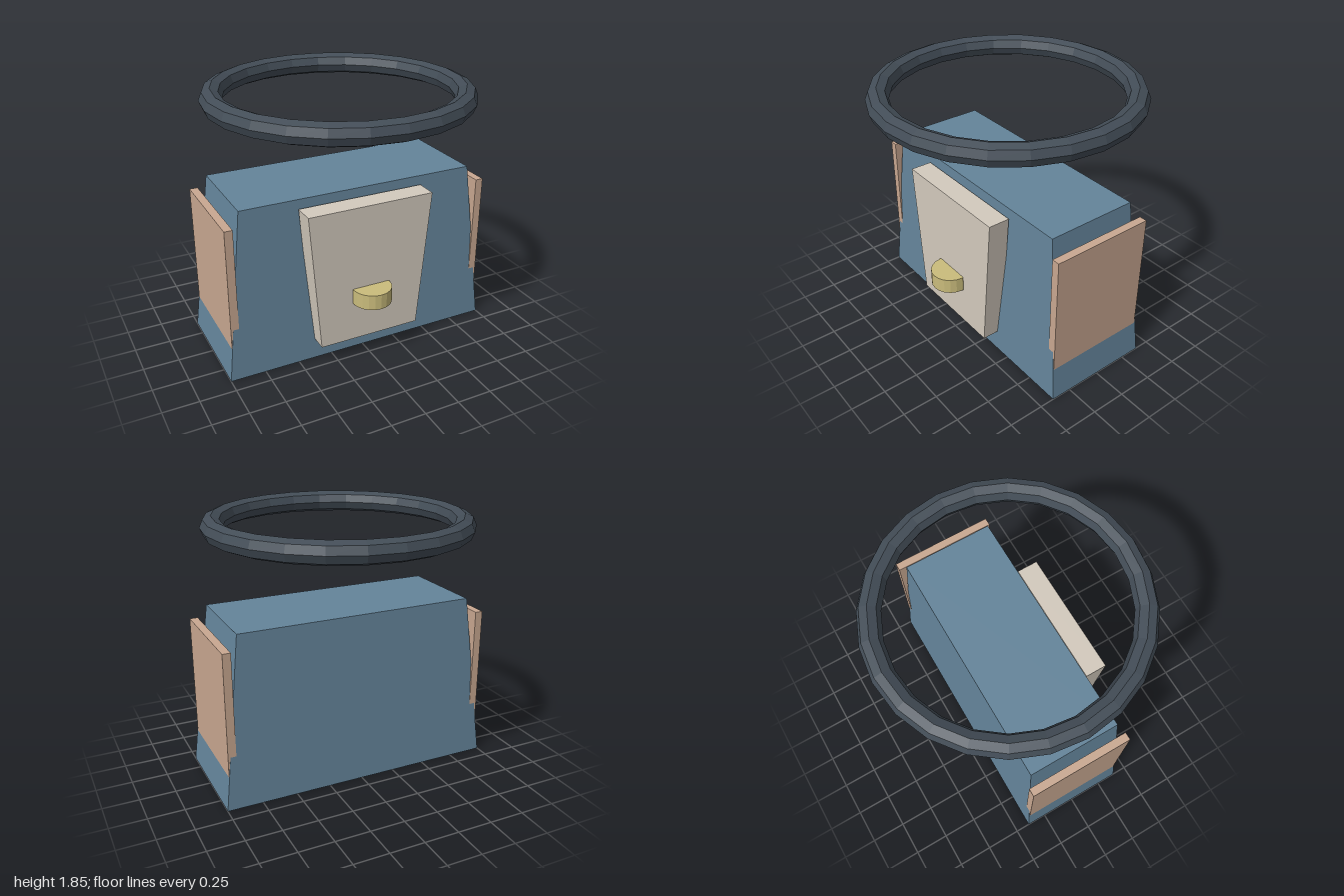
import * as THREE from 'three';

const mat = (color) => new THREE.MeshStandardMaterial({ color, flatShading: true });

function addPart(group, name, geometry, material, x = 0, y = 0, z = 0) {
  const mesh = new THREE.Mesh(geometry, material);
  mesh.name = name;
  mesh.position.set(x, y, z);
  group.add(mesh);
  return mesh;
}

// Box standing on y = 0 whose half sizes change from bottom to top
function taperedBox(height, bottomX, bottomZ, topX, topZ) {
  const geometry = new THREE.BoxGeometry(2, height, 2);
  geometry.translate(0, height / 2, 0);
  const p = geometry.attributes.position;
  for (let i = 0; i < p.count; i++) {
    const top = p.getY(i) > height / 2;
    p.setX(i, p.getX(i) * (top ? topX : bottomX));
    p.setZ(i, p.getZ(i) * (top ? topZ : bottomZ));
  }
  geometry.computeVertexNormals();
  return geometry;
}

export function createModel() {
  const bag = new THREE.Group();
  bag.name = 'handbag';

  // Tapered main body
  addPart(bag, 'body', taperedBox(1.21, 1, 0.395, 0.86, 0.332), mat(0x64849a));

  // Front flap, wider at the top
  addPart(bag, 'frontFlap', taperedBox(1, 0.375, 0.077, 0.46, 0.077), mat(0xd3cabd), 0, 0.15, 0.428);

  // Round clasp sunk halfway into the flap
  addPart(bag, 'clasp', new THREE.CylinderGeometry(0.14, 0.14, 0.11, 20), mat(0xcabc7c), 0, 0.495, 0.515);

  // Upright side panels, their lower ends sunk into the body
  const panelMaterial = mat(0xc9a891);
  for (const [name, side] of [['leftPanel', 1], ['rightPanel', -1]]) {
    addPart(bag, name, new THREE.BoxGeometry(0.057, 0.9, 0.75), panelMaterial, side * 0.944, 0.66, 0);
  }

  // Ring handle lying level above the body
  const ring = new THREE.TorusGeometry(0.854, 0.077, 8, 24);
  ring.rotateX(Math.PI / 2);
  addPart(bag, 'ringHandle', ring, mat(0x434d57), 0, 1.772, 0);

  return bag;
}
